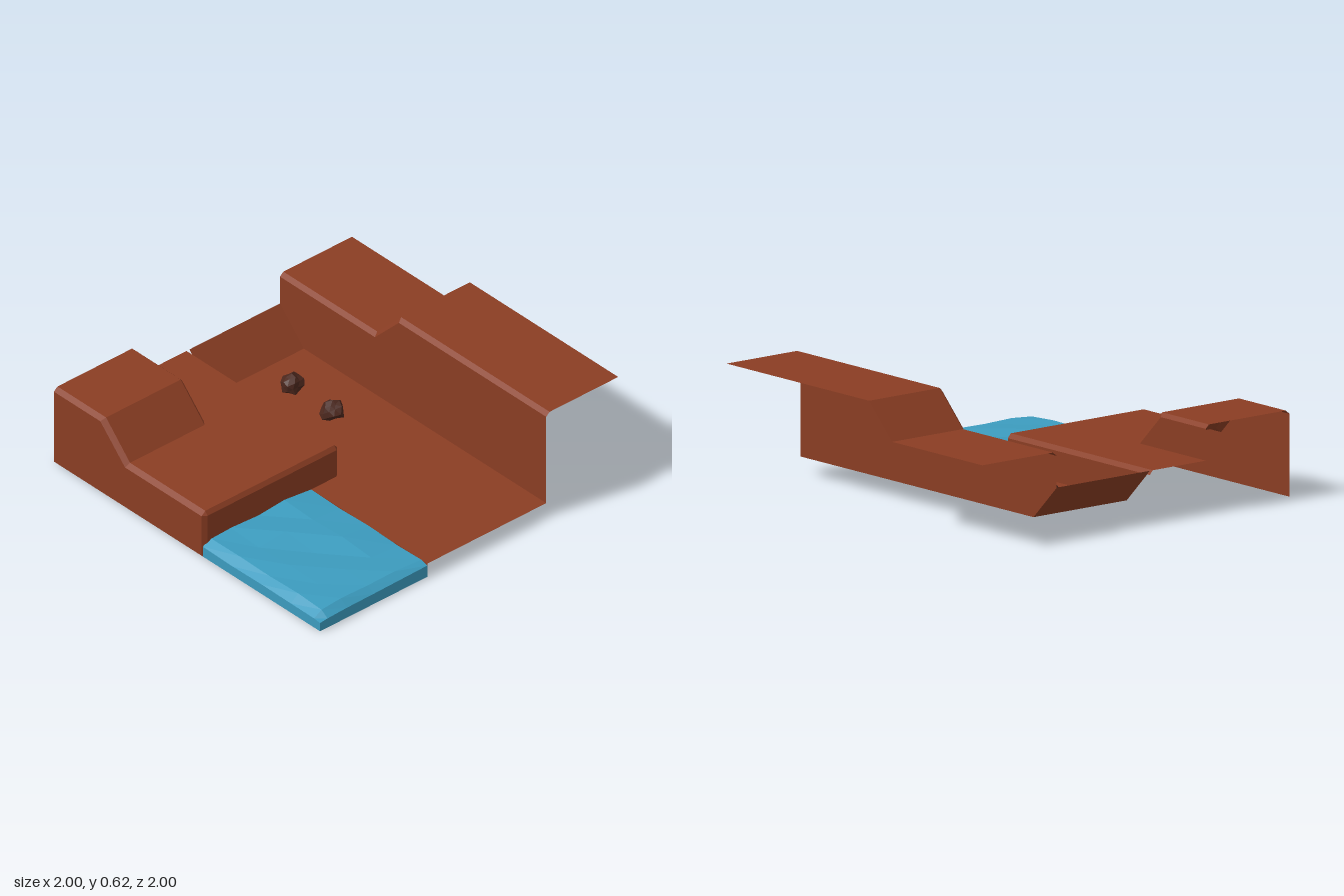
import * as THREE from 'three';

const earth = new THREE.MeshStandardMaterial({ color: 0x8a3d23, side: THREE.DoubleSide, flatShading: true });
earth.name = 'red earth';
const waterBlue = new THREE.MeshStandardMaterial({ color: 0x3c9cbf, side: THREE.DoubleSide, flatShading: true });
waterBlue.name = 'water blue';
const rockBrown = new THREE.MeshStandardMaterial({ color: 0x4a261c, flatShading: true });
rockBrown.name = 'rock brown';

export function createModel() {
  const model = new THREE.Group();
  model.name = 'terrain';

  function add(name, geometry, material = earth) {
    const mesh = new THREE.Mesh(geometry, material);
    mesh.name = name;
    model.add(mesh);
    return mesh;
  }

  // Sheet spanned between two polylines with equal point counts
  function sheet(name, a, b, material) {
    const pos = [];
    for (let i = 0; i < a.length - 1; i++) {
      pos.push(...a[i], ...a[i + 1], ...b[i + 1], ...a[i], ...b[i + 1], ...b[i]);
    }
    const g = new THREE.BufferGeometry();
    g.setAttribute('position', new THREE.Float32BufferAttribute(pos, 3));
    g.computeVertexNormals();
    return add(name, g, material);
  }

  const polygon = (pts) => new THREE.ShapeGeometry(new THREE.Shape(pts.map(([x, y]) => new THREE.Vector2(x, y))));
  // Vertical wall from an (x, y) outline
  const wall = (name, z, pts, back) => {
    const g = polygon(pts);
    if (back) g.rotateY(Math.PI).scale(-1, 1, -1);
    return add(name, g.translate(0, 0, z));
  };
  // Level ground from an (x, z) outline
  const level = (name, y, pts) =>
    add(name, polygon(pts.map(([x, z]) => [x, -z])).rotateX(-Math.PI / 2).translate(0, y, 0));
  const atZ = (line, z) => line.map(([x, y]) => [x, y, z]);

  // Back plateau: low step, ramp, high step, with a bevelled cliff edge
  const cliffTop = [[-1, 0.445], [-0.295, 0.445], [-0.115, 0.625], [1, 0.625]];
  const cliffEdge = [[-1, 0.425], [-0.287, 0.425], [-0.107, 0.605], [1, 0.605]];
  sheet('backPlateau', atZ(cliffTop, -0.54), atZ(cliffTop, -1));
  sheet('backPlateauBevel', atZ(cliffEdge, -0.517), atZ(cliffTop, -0.54));
  wall('backCliff', -0.517, [[-1, 0.26], [-0.82, 0.08], [1, 0.08], ...cliffEdge.slice().reverse()]);

  // Valley floor with its side ramp and the bank by the pond
  const floorLine = [[-1, 0.262], [-0.82, 0.08], [0.11, 0.08], [1, 0.08]];
  sheet('valleyFloor', atZ(floorLine, 0.09), atZ(floorLine, -0.517));
  level('pondShore', 0.08, [[0.11, 0.09], [0.11, 0.28], [1, 0.28], [1, 0.09]]);
  wall('pondBank', 0.28, [[0.11, 0], [1, 0], [1, 0.08], [0.11, 0.08]]);
  level('pondBed', 0, [[0.11, 0.28], [0.11, 1], [1, 1], [1, 0.28]]);

  // Front terrace, lower step
  level('lowerTerrace', 0.262, [[-1, 0.11], [-1, 0.455], [-0.485, 0.455], [-0.455, 0.475],
    [-0.455, 0.975], [0.11, 0.975], [0.11, 0.11]]);

  // Front terrace, upper step and ramp
  const stepTop = [[-1, 0.445], [-0.635, 0.445], [-0.455, 0.262]];
  const stepEdge = [[-1, 0.425], [-0.65, 0.425], [-0.465, 0.24]];
  sheet('upperTerrace', atZ(stepTop, 0.975), atZ(stepTop, 0.475));
  const stepBack = [[-1, 0.425], [-0.648, 0.425], [-0.485, 0.262]];
  sheet('upperTerraceBackBevel', atZ(stepTop, 0.475), atZ(stepBack, 0.455));
  wall('upperTerraceBack', 0.455, [[-1, 0.262], [-0.485, 0.262], [-0.648, 0.425], [-1, 0.425]], true);

  // Bevel running round the front, side and back of the terrace
  const bevelOuter = [...atZ(stepEdge, 1), [0.11, 0.24, 1], [0.127, 0.24, 0.975],
    [0.127, 0.24, 0.11], [0.11, 0.24, 0.09], [-1, 0.24, 0.09]];
  const bevelInner = [...atZ(stepTop, 0.975), [0.11, 0.262, 0.975], [0.11, 0.262, 0.975],
    [0.11, 0.262, 0.11], [0.11, 0.262, 0.11], [-1, 0.262, 0.11]];
  sheet('terraceBevel', bevelOuter, bevelInner);

  // Terrace walls
  wall('terraceFront', 1, [[-1, 0], [0.11, 0], [0.11, 0.24], ...stepEdge.slice().reverse()]);
  const sideTop = bevelOuter.slice(3, 7);
  sheet('terraceSide', sideTop.map(([x, , z]) => [x, 0, z]), sideTop);
  wall('terraceBack', 0.09, [[-0.98, 0.24], [-0.82, 0.08], [0.11, 0.08], [0.11, 0.24]], true);

  // Faceted pond surface with a rim sloping down at the open sides
  const xs = [0.12, 0.34, 0.56, 0.78, 0.955, 1];
  const zs = [0.28, 0.46, 0.64, 0.82, 0.95, 1];
  const heights = [
    [0.08, 0.075, 0.082, 0.075, 0.08, 0.068],
    [0.1, 0.09, 0.1, 0.085, 0.092, 0.065],
    [0.085, 0.1, 0.082, 0.098, 0.09, 0.062],
    [0.095, 0.085, 0.095, 0.092, 0.095, 0.06],
    [0.09, 0.092, 0.088, 0.094, 0.085, 0.055],
    [0.06, 0.055, 0.058, 0.056, 0.055, 0.05],
  ];
  const rows = zs.map((z, j) => xs.map((x, i) => [x, heights[j][i], z]));
  for (let j = 0; j < 5; j++) sheet('pondSurface', rows[j + 1], rows[j], waterBlue);
  const drop = (line) => line.map(([x, , z]) => [x, 0, z]);
  const eastRim = rows.map((r) => r[5]).reverse();
  sheet('pondFront', drop(rows[5]), rows[5], waterBlue);
  sheet('pondSide', drop(eastRim), eastRim, waterBlue);

  // Two rough boulders on the valley floor
  [[-0.585, -0.225, 0], [-0.278, -0.225, 2.1]].forEach(([x, z, seed]) => {
    const g = new THREE.IcosahedronGeometry(1, 1);
    const p = g.attributes.position;
    const v = new THREE.Vector3();
    for (let i = 0; i < p.count; i++) {
      v.fromBufferAttribute(p, i);
      const r = 1 + 0.16 * Math.sin(v.x * 5 + v.y * 7 + v.z * 4 + seed);
      const taper = 1 - 0.2 * v.y;
      p.setXYZ(i, v.x * r * taper, v.y * r, v.z * r * taper);
    }
    g.scale(0.057, 0.053, 0.064);
    g.computeVertexNormals();
    add('boulder', g, rockBrown).position.set(x, 0.126, z);
  });

  return model;
}
